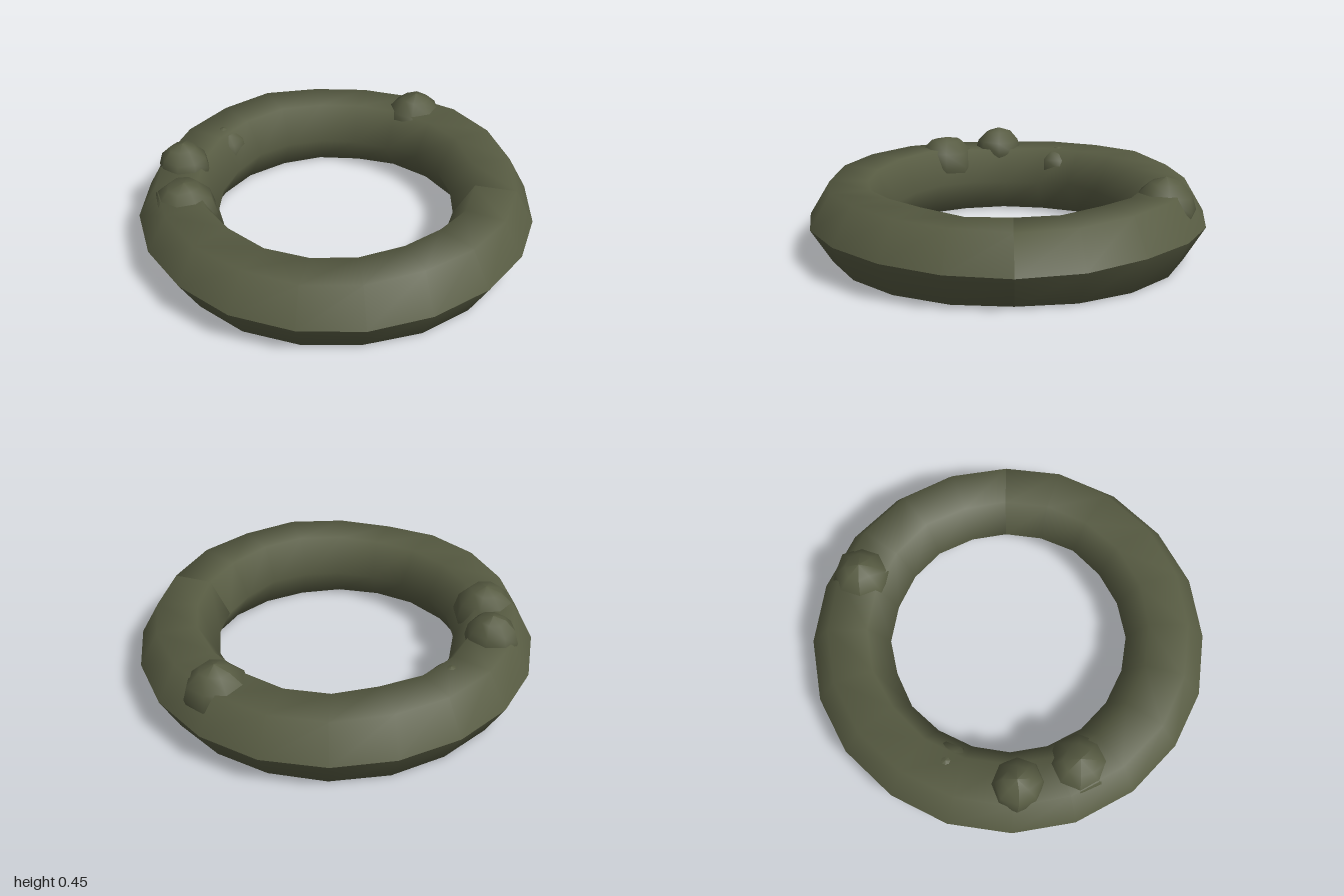
import * as THREE from 'three';

// Repeatable wobble in -1..1 from a position, so coincident seam corners move together
function wobble(x, y, z, seed) {
  const r = (n) => Math.round(n * 1000) / 1000 + 0;
  const s = Math.sin(r(x) * 12.9898 + r(y) * 78.233 + r(z) * 37.719 + seed * 5.3) * 43758.5453;
  return (s - Math.floor(s)) * 2 - 1;
}

// Shift every corner a little, then recompute smooth normals
function roughen(geometry, amount, seed) {
  const p = geometry.attributes.position;
  for (let i = 0; i < p.count; i++) {
    const x = p.getX(i), y = p.getY(i), z = p.getZ(i);
    p.setXYZ(i,
      x + amount * wobble(x, y, z, seed),
      y + amount * wobble(x, y, z, seed + 1),
      z + amount * wobble(x, y, z, seed + 2));
  }
  geometry.computeVertexNormals();
  return geometry;
}

export function createModel() {
  const model = new THREE.Group();
  model.name = 'lumpyRing';
  const olive = new THREE.MeshStandardMaterial({ color: 0x575b42 });
  olive.name = 'dark olive';

  // Six-sided ring lying flat, its belt line rising and falling gently
  const ringGeometry = new THREE.TorusGeometry(0.8, 0.2, 6, 20);
  ringGeometry.rotateX(-Math.PI / 2);
  const p = ringGeometry.attributes.position;
  for (let i = 0; i < p.count; i++) {
    const angle = Math.atan2(p.getZ(i), p.getX(i));
    const y = p.getY(i);
    const wave = y > -0.1 ? -0.008 * Math.cos(4 * angle) : 0;
    p.setXYZ(i, p.getX(i) * 0.987, y + wave, p.getZ(i) * 0.995);
  }
  const ring = new THREE.Mesh(roughen(ringGeometry, 0.005, 3), olive);
  ring.name = 'ring';
  ring.position.y = 0.183;
  model.add(ring);

  // Half-buried lumps: x, y, z, radius
  const lumps = [
    [0.31, 0.275, -0.74, 0.155],
    [-0.78, 0.32, 0.03, 0.13],
    [-0.69, 0.265, 0.325, 0.16],
    [-0.67, 0.24, -0.31, 0.12],
  ];
  lumps.forEach(([x, y, z, radius], i) => {
    const lump = new THREE.Mesh(
      roughen(new THREE.SphereGeometry(radius, 8, 6), 0.005, 10 + i * 4), olive);
    lump.name = 'lump' + (i + 1);
    lump.position.set(x, y, z);
    model.add(lump);
  });

  return model;
}
